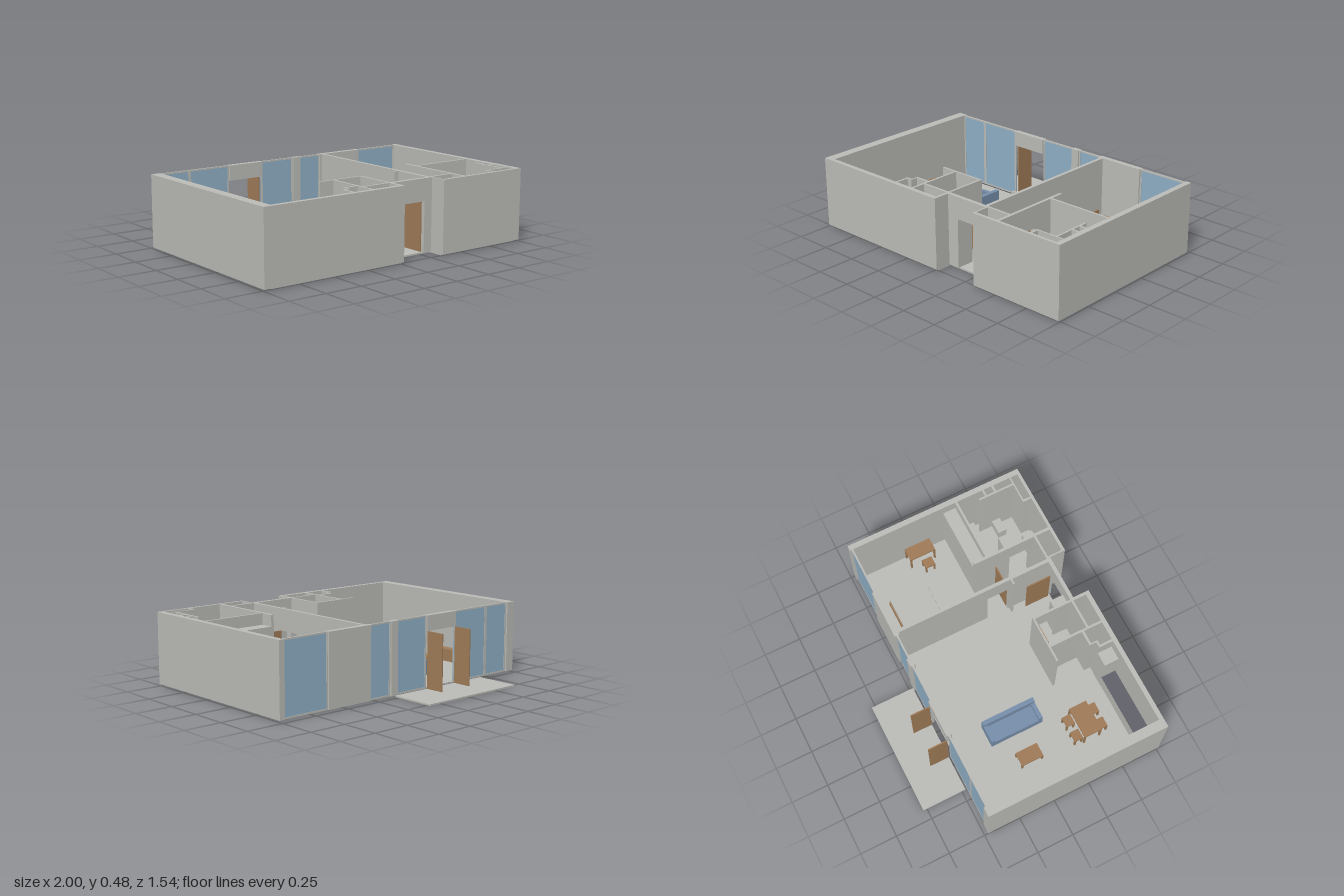
import * as THREE from 'three';

const mat = (name, color, side = THREE.FrontSide) => {
  const m = new THREE.MeshStandardMaterial({ color, side });
  m.name = name;
  return m;
};

export function createModel() {
  const model = new THREE.Group();
  model.name = 'apartment';
  const grey = mat('plaster grey', 0xbcbcb8);
  const wood = mat('wood brown', 0xa07c58);
  const glass = mat('window blue', 0x90b0c6);
  const fabric = mat('sofa blue', 0x7890ac);
  const dark = mat('worktop dark grey', 0x62626c);
  const F = 0.01, TOP = 0.48, DOOR = 0.335;

  // Box given by its limits on each axis
  const box = (name, m, x0, x1, z0, z1, y0 = F, y1 = TOP, parent = model) => {
    const mesh = new THREE.Mesh(new THREE.BoxGeometry(x1 - x0, y1 - y0, z1 - z0), m);
    mesh.position.set((x0 + x1) / 2, (y0 + y1) / 2, (z0 + z1) / 2);
    mesh.name = name;
    parent.add(mesh);
    return mesh;
  };
  const group = (name) => {
    const g = new THREE.Group();
    g.name = name;
    model.add(g);
    return g;
  };

  // Floor slab with open service shafts
  const outline = [[-0.94, -0.44], [0.965, -0.44], [0.965, 0.745], [0.335, 0.745],
    [0.335, 0.645], [0.02, 0.645], [0.02, 0.745], [-0.94, 0.745]];
  const floor = new THREE.Shape(outline.map(([x, z]) => new THREE.Vector2(x, z)));
  const cut = (pts) => floor.holes.push(new THREE.Path(pts.map(([x, z]) => new THREE.Vector2(x, z))));
  const cutRect = (x0, x1, z0, z1) => cut([[x0, z0], [x0, z1], [x1, z1], [x1, z0]]);
  cut([[-0.305, 0.605], [-0.305, 0.65], [-0.34, 0.65], [-0.34, 0.733], [-0.212, 0.733], [-0.212, 0.605]]);
  cutRect(-0.198, -0.005, 0.645, 0.733);
  cutRect(0.345, 0.508, 0.645, 0.74);
  cutRect(0.92, 0.962, 0.495, 0.55);
  cutRect(0.92, 0.962, 0.567, 0.685);
  cutRect(0.78, 0.962, 0.695, 0.725);
  const slab = new THREE.Mesh(new THREE.ExtrudeGeometry(floor, { depth: F, bevelEnabled: false }), grey);
  slab.rotation.x = Math.PI / 2;
  slab.position.y = F;
  slab.name = 'floor';
  model.add(slab);
  box('balcony', grey, -0.68, 0.09, -0.775, -0.475, 0, F);

  // Outer walls: x0, x1, z0, z1
  const outer = group('outerWalls');
  [
    [-1, -0.936, -0.475, 0.765], [0.963, 1, -0.475, 0.765],
    [-0.936, 0.02, 0.735, 0.765], [0.335, 0.963, 0.745, 0.765],
    [0, 0.02, 0.655, 0.735], [0.335, 0.345, 0.655, 0.745],
    [0, 0.10, 0.63, 0.655], [0.275, 0.345, 0.63, 0.655],
    [0.295, 0.63, -0.475, -0.44], [0.07, 0.125, -0.475, -0.44],
  ].forEach(([a, b, c, d]) => box('outerWall', grey, a, b, c, d, F, TOP, outer));
  box('entranceLintel', grey, 0.10, 0.275, 0.63, 0.655, DOOR, TOP, outer);
  box('balconyLintel', grey, -0.44, -0.185, -0.475, -0.44, 0.38, TOP, outer);

  // Partition walls
  const inner = group('partitionWalls');
  [
    [0.31, 0.333, -0.44, 0.19], [0.31, 0.333, 0.345, 0.63],
    [0.51, 0.53, 0.195, 0.455], [0.51, 0.53, 0.6, 0.745],
    [0.53, 0.963, 0.285, 0.3], [0.345, 0.51, 0.63, 0.645],
    [-0.315, 0.015, 0.355, 0.368], [0.275, 0.31, 0.355, 0.368],
    [0, 0.015, 0.368, 0.4], [0, 0.015, 0.525, 0.63],
    [-0.213, -0.198, 0.368, 0.735], [-0.198, 0, 0.63, 0.645],
    [-0.315, -0.213, 0.59, 0.605], [-0.315, -0.305, 0.605, 0.65],
    [-0.355, -0.315, 0.637, 0.65], [-0.355, -0.34, 0.65, 0.735],
    [0.905, 0.918, 0.435, 0.695], [0.918, 0.963, 0.482, 0.495],
    [0.918, 0.963, 0.55, 0.565], [0.765, 0.963, 0.685, 0.695], [0.765, 0.78, 0.695, 0.745],
  ].forEach(([a, b, c, d]) => box('partition', grey, a, b, c, d, F, TOP, inner));
  [[0.31, 0.333, 0.19, 0.345], [0.51, 0.53, 0.455, 0.6], [0, 0.015, 0.4, 0.525]]
    .forEach(([a, b, c, d]) => box('doorLintel', grey, a, b, c, d, DOOR, TOP, inner));

  // Glazing with rails and posts
  const windows = group('windows');
  [[-0.936, -0.735], [-0.735, -0.44], [-0.185, 0.07], [0.125, 0.295], [0.63, 0.963]].forEach(([a, b]) => {
    box('pane', glass, a, b, -0.462, -0.454, 0.02, 0.47, windows);
    box('bottomRail', grey, a, b, -0.464, -0.452, F, 0.02, windows);
    box('topRail', grey, a, b, -0.464, -0.452, 0.47, TOP, windows);
    for (const x of [a, b - 0.01]) box('post', grey, x, x + 0.01, -0.465, -0.451, F, TOP, windows);
  });

  // Door leaves
  box('balconyDoorRight', wood, -0.44, -0.432, -0.605, -0.475, F, 0.38);
  box('balconyDoorLeft', wood, -0.193, -0.185, -0.605, -0.475, F, 0.38);
  box('entranceDoor', wood, 0.267, 0.275, 0.46, 0.63, F, DOOR);
  box('bedroomDoor', wood, 0.333, 0.49, 0.341, 0.349, F, DOOR);
  box('washroomDoor', wood, -0.135, 0, 0.397, 0.404, F, DOOR);
  box('bathroomDoor', grey, 0.53, 0.67, 0.453, 0.458, F, DOOR);

  // Door swing arcs on the floor: hinge x, z, radius, start angle
  [
    [-0.436, -0.475, 0.13, 0], [-0.189, -0.475, 0.13, 1], [0.271, 0.63, 0.17, 1],
    [0.333, 0.345, 0.155, 0], [0, 0.4, 0.13, 2], [0.53, 0.455, 0.14, 3],
  ].forEach(([x, z, r, q]) => {
    const arc = new THREE.Mesh(new THREE.RingGeometry(r - 0.004, r, 16, 1, q * Math.PI / 2, Math.PI / 2), grey);
    arc.rotation.x = -Math.PI / 2;
    arc.position.set(x, 0.012, z);
    arc.name = 'doorSwing';
    model.add(arc);
  });

  // Table top on four legs
  const table = (name, x0, x1, z0, z1, h, t = 0.012) => {
    const g = group(name), l = 0.012;
    box('top', wood, x0, x1, z0, z1, h - t, h, g);
    for (const x of [x0, x1 - l]) for (const z of [z0, z1 - l]) box('leg', wood, x, x + l, z, z + l, F, h - t, g);
  };

  // Living and dining furniture
  box('sideboard', wood, -0.95, -0.875, -0.14, 0.11, F, 0.095);
  table('coffeeTable', -0.725, -0.63, -0.09, 0.065, 0.08);
  table('diningTable', -0.755, -0.54, 0.345, 0.47, 0.145);
  for (const x of [-0.74, -0.63]) {
    table('chairBack', x, x + 0.07, 0.285, 0.345, 0.095);
    table('chairFront', x, x + 0.07, 0.47, 0.525, 0.095);
  }
  const sofa = group('sofa');
  box('seat', fabric, -0.505, -0.39, -0.17, 0.147, F, 0.08, sofa);
  box('backrest', fabric, -0.39, -0.36, -0.195, 0.175, F, 0.14, sofa);
  box('rightArm', fabric, -0.505, -0.39, -0.195, -0.17, F, 0.11, sofa);
  box('leftArm', fabric, -0.505, -0.39, 0.147, 0.175, F, 0.11, sofa);

  // Kitchen
  box('kitchenCabinets', grey, -0.915, -0.45, 0.637, 0.735, F, 0.15);
  box('worktop', dark, -0.917, -0.45, 0.635, 0.735, 0.15, 0.16);
  box('fridge', grey, -0.45, -0.355, 0.635, 0.735, F, 0.38);

  // Bedroom
  const bed = group('bed');
  box('frame', wood, 0.37, 0.695, -0.355, -0.075, F, 0.06, bed);
  box('mattress', grey, 0.383, 0.688, -0.348, -0.082, 0.06, 0.1, bed);
  box('headboard', wood, 0.37, 0.38, -0.355, -0.075, 0.06, 0.16, bed);
  box('nightstandBack', wood, 0.37, 0.435, -0.435, -0.357, F, 0.09);
  box('nightstandFront', wood, 0.37, 0.435, -0.073, 0.002, F, 0.09);
  table('dressingTable', 0.87, 0.963, -0.105, 0.08, 0.14);
  table('stool', 0.795, 0.86, -0.03, 0.042, 0.085);
  box('wardrobe', grey, 0.53, 0.963, 0.195, 0.285, F, 0.405);
  box('hallShelf', grey, 0.333, 0.375, -0.01, 0.19, F, 0.16);

  // Bathroom and washroom fittings
  box('bathtub', grey, 0.53, 0.945, 0.3, 0.41, F, 0.11);
  box('bathtubCover', grey, 0.535, 0.795, 0.305, 0.405, 0.11, 0.12);
  box('toilet', grey, 0.805, 0.905, 0.53, 0.59, F, 0.085);
  box('washstand', grey, 0.545, 0.695, 0.65, 0.725, F, 0.15);
  box('smallBasin', grey, -0.198, -0.145, 0.368, 0.445, 0.11, 0.15);
  box('smallToilet', grey, -0.198, -0.1, 0.575, 0.63, F, 0.085);
  box('hallCloset', grey, 0.015, 0.1, 0.535, 0.63, F, 0.38);
  return model;
}
